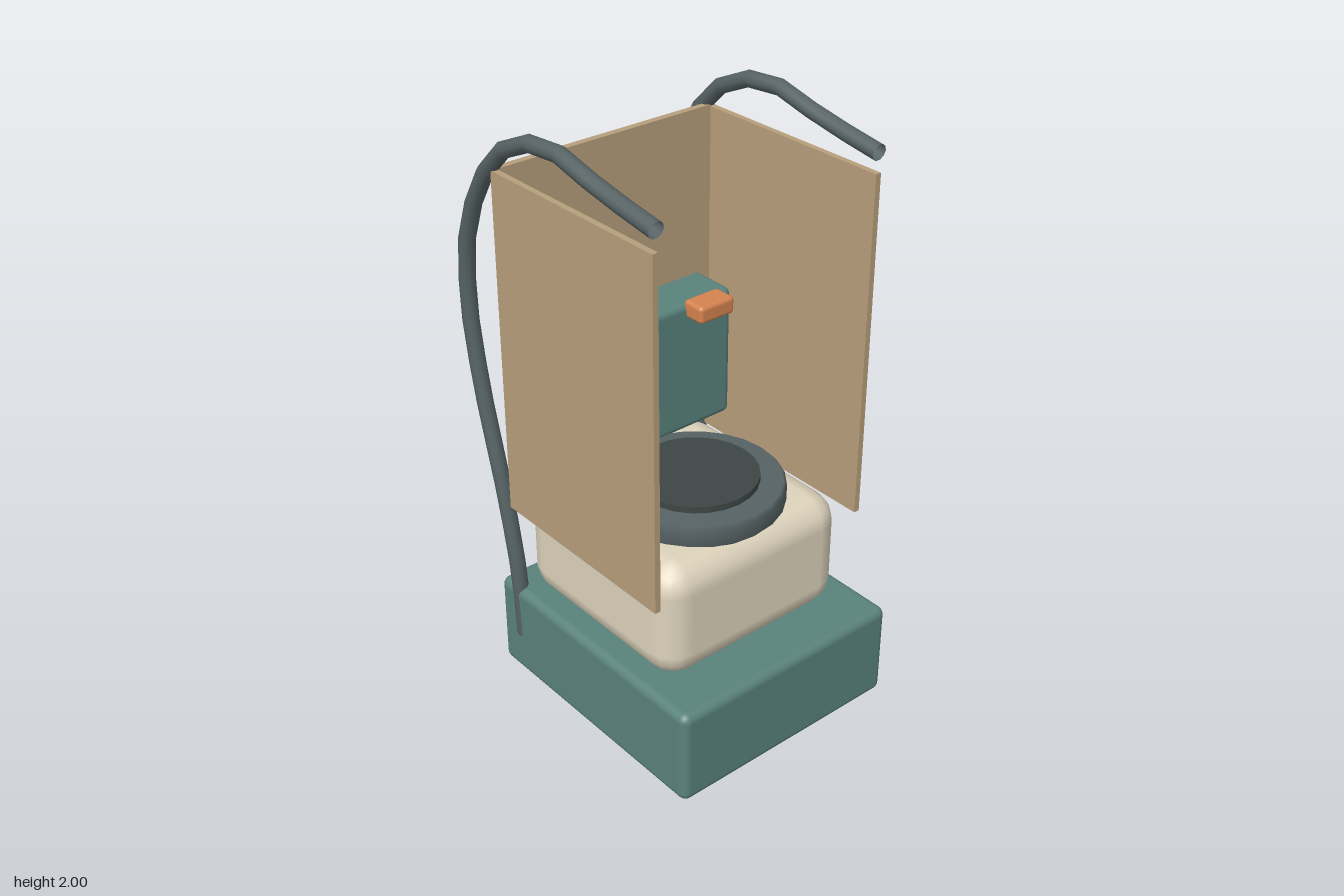
import * as THREE from 'three';
import { RoundedBoxGeometry } from 'three/addons/geometries/RoundedBoxGeometry.js';

const paint = (color, side = THREE.FrontSide) => new THREE.MeshStandardMaterial({ color, side });

export function createModel() {
  const model = new THREE.Group();
  const teal = paint(0x5a827c);
  const cream = paint(0xddd3bc);
  const tan = paint(0xb89f7c);
  const steel = paint(0x566264, THREE.DoubleSide);
  const dark = paint(0x3d4644);
  const orange = paint(0xd4834f);

  const add = (name, geometry, material, x, y, z) => {
    const mesh = new THREE.Mesh(geometry, material);
    mesh.name = name;
    mesh.position.set(x, y, z);
    model.add(mesh);
    return mesh;
  };

  // Plinth and rounded body
  add('base', new RoundedBoxGeometry(0.87, 0.34, 0.96, 3, 0.03), teal, 0, 0.17, 0.07);
  add('body', new RoundedBoxGeometry(0.74, 0.42, 0.75, 2, 0.1), cream, 0, 0.525, 0.023);

  // Round seat: collar with softened rims, and a raised disc
  const collar = [[0, 0.72], [0.275, 0.72], [0.29, 0.735], [0.29, 0.79], [0.28, 0.802], [0, 0.802]]
    .map(([r, y]) => new THREE.Vector2(r, y));
  add('collar', new THREE.LatheGeometry(collar, 24), steel, 0, 0, 0.09);
  add('seatDisc', new THREE.CylinderGeometry(0.206, 0.206, 0.04, 24), dark, 0, 0.804, 0.09);

  // Backrest box passing through the rear panel, with a button on top
  add('backBox', new RoundedBoxGeometry(0.74, 0.47, 0.19, 3, 0.025), teal, 0, 1.025, -0.258);
  add('button', new RoundedBoxGeometry(0.144, 0.062, 0.09, 3, 0.015), orange, 0.246, 1.241, -0.135);

  // Thin screen panels
  add('backPanel', new THREE.BoxGeometry(0.82, 1.005, 0.024), tan, 0, 1.328, -0.332);

  // Bent handrail path, from the front end over the top and down into the base
  const path = new THREE.CatmullRomCurve3([
    [1.89, 0.405], [1.925, 0.18], [1.973, -0.08], [1.88, -0.31], [1.6, -0.49],
    [1.33, -0.52], [1.03, -0.475], [0.7, -0.39], [0.4, -0.33], [0.15, -0.31],
  ].map(([y, z]) => new THREE.Vector3(0, y, z)));

  for (const side of [-1, 1]) {
    const label = side > 0 ? 'left' : 'right';
    add(label + 'Panel', new THREE.BoxGeometry(0.02, 1.172, 0.74), tan, side * 0.416, 1.239, 0.035);
    add(label + 'Rail', new THREE.TubeGeometry(path, 18, 0.027, 10, false), steel, side * 0.413, 0, 0);
  }
  return model;
}
